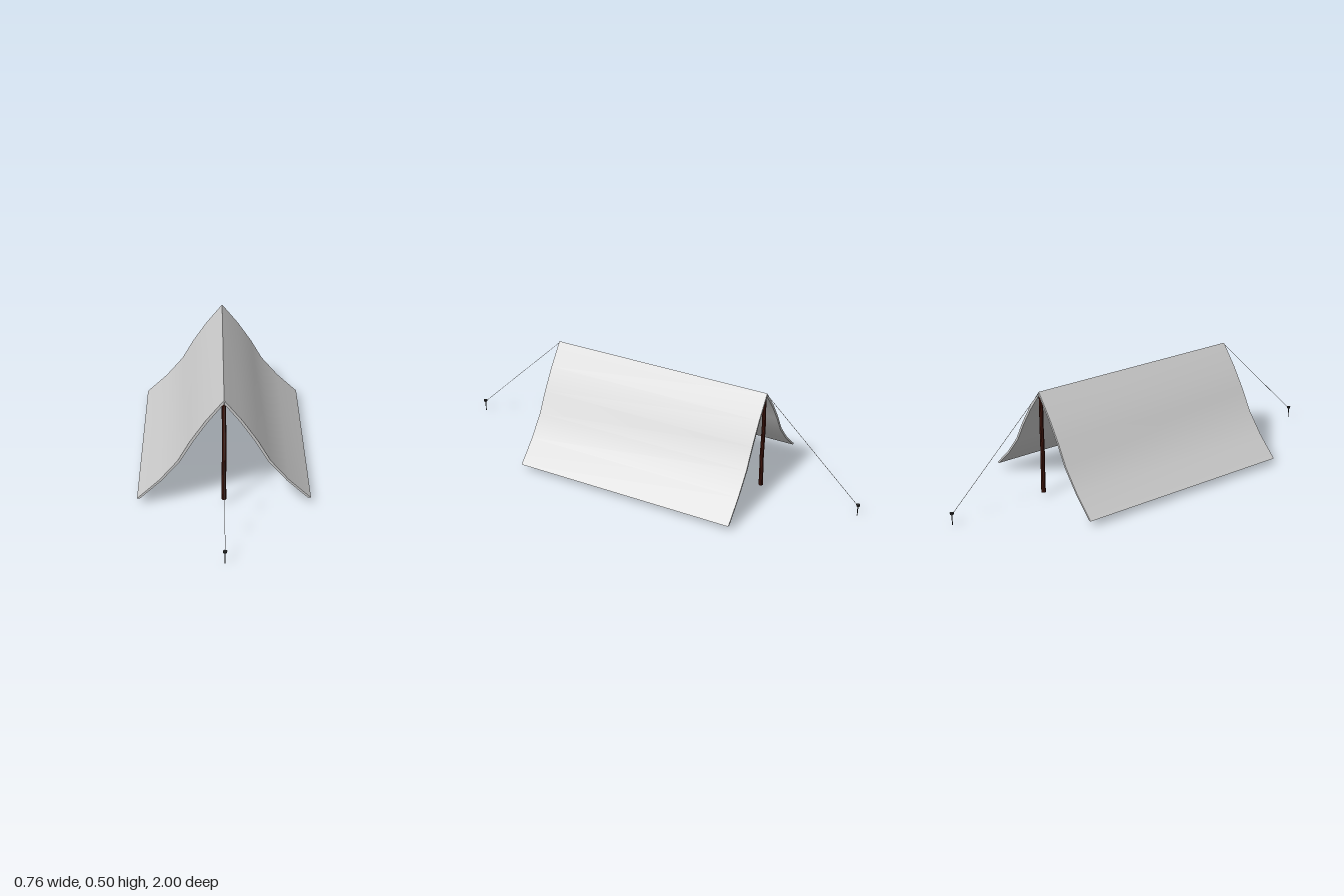
import * as THREE from 'three';
import { toCreasedNormals } from 'three/addons/utils/BufferGeometryUtils.js';

const canvasMat = new THREE.MeshStandardMaterial({ color: 0xcccccc });
const woodMat = new THREE.MeshStandardMaterial({ color: 0x3f150c, flatShading: true });
const ironMat = new THREE.MeshStandardMaterial({ color: 0x2a2a2a });
const ropeMat = new THREE.MeshStandardMaterial({ color: 0xcccccc });

const RIDGE = 0.505, HALF_LENGTH = 0.532, POLE_Z = 0.522, PEG_Z = 0.99;

function addMesh(parent, name, geometry, material, x = 0, y = 0, z = 0) {
  const mesh = new THREE.Mesh(geometry, material);
  mesh.name = name;
  mesh.position.set(x, y, z);
  parent.add(mesh);
  return mesh;
}

// Draped sheet: a thin sagging profile, mirrored about the ridge and extruded
function canvasGeometry() {
  const outer = [[0.079, 0.408], [0.146, 0.31], [0.2, 0.216], [0.28, 0.122], [0.379, 0.03]];
  const inner = [[0.366, 0.03], [0.272, 0.117], [0.19, 0.211], [0.135, 0.305], [0.069, 0.402]];
  const right = [[0, RIDGE], ...outer, ...inner, [0, 0.488]];
  const left = [...inner, ...[...outer]].length ? right.slice(1, -1).reverse().map(([x, y]) => [-x, y]) : [];
  const shape = new THREE.Shape([...right, ...left].map(([x, y]) => new THREE.Vector2(x, y)));
  const geo = new THREE.ExtrudeGeometry(shape, { depth: 2 * HALF_LENGTH, bevelEnabled: false });
  geo.translate(0, 0, -HALF_LENGTH);
  return toCreasedNormals(geo, 0.6);
}

// Rough wooden pole whose rings wander slightly
function poleGeometry() {
  const height = 0.472;
  const geo = new THREE.CylinderGeometry(0.009, 0.0105, height, 8, 6);
  const pos = geo.attributes.position;
  for (let i = 0; i < pos.count; i++) {
    const y = pos.getY(i);
    pos.setX(i, pos.getX(i) + 0.001 * Math.sin(y * 17 + 1));
    pos.setZ(i, pos.getZ(i) + 0.001 * Math.sin(y * 23));
  }
  geo.translate(0, 0.02 + height / 2, 0);
  geo.computeVertexNormals();
  return geo;
}

// Pole, guy rope and peg for one end of the shelter
function createEnd(name) {
  const end = new THREE.Group();
  end.name = name;
  addMesh(end, 'pole', poleGeometry(), woodMat, 0, 0, POLE_Z);

  const rope = new THREE.LineCurve3(
    new THREE.Vector3(0, 0.498, HALF_LENGTH), new THREE.Vector3(0, 0.05, PEG_Z));
  addMesh(end, 'guyRope', new THREE.TubeGeometry(rope, 1, 0.001, 6), ropeMat);

  const peg = new THREE.Group();
  peg.name = 'peg';
  peg.position.z = PEG_Z;
  addMesh(peg, 'pegShaft', new THREE.CylinderGeometry(0.0025, 0.0018, 0.052, 8), ironMat, 0, 0.026, 0);
  addMesh(peg, 'pegHead', new THREE.CylinderGeometry(0.009, 0.008, 0.008, 10), ironMat, 0, 0.055, 0);
  end.add(peg);
  return end;
}

export function createModel() {
  const tent = new THREE.Group();
  tent.name = 'tent';
  addMesh(tent, 'canvas', canvasGeometry(), canvasMat);
  const back = createEnd('backEnd');
  back.rotation.y = Math.PI;
  tent.add(createEnd('frontEnd'), back);
  return tent;
}
